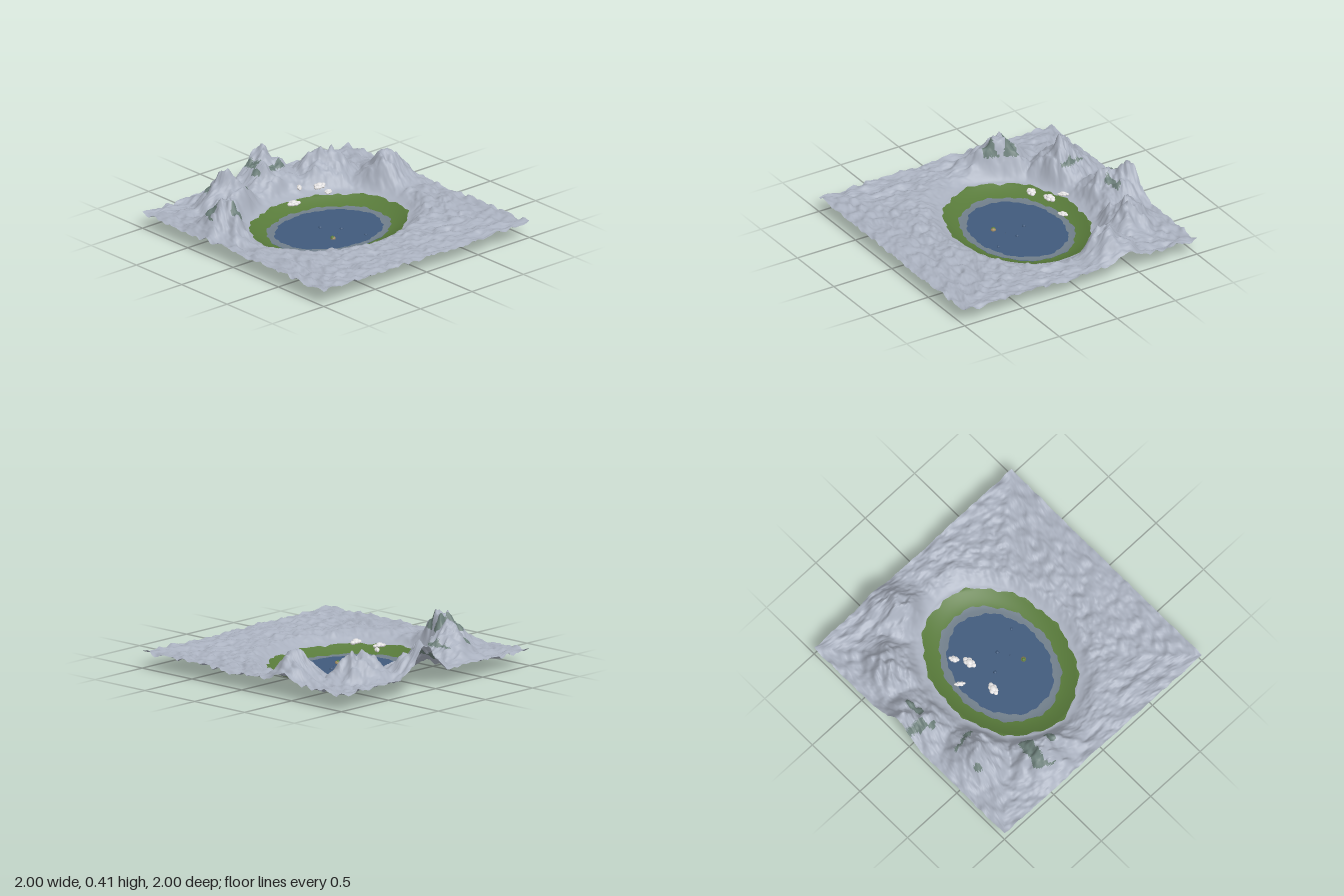
import * as THREE from 'three';

const material = (name, color, extra = {}) => {
  const m = new THREE.MeshStandardMaterial({ color, ...extra });
  m.name = name;
  return m;
};
const lerp = THREE.MathUtils.lerp, smooth = THREE.MathUtils.smoothstep;

// Seeded value noise, roughly -1..1
const hash = (i, j) => {
  const s = Math.sin(i * 127.1 + j * 311.7) * 43758.5453;
  return (s - Math.floor(s)) * 2 - 1;
};
function noise(x, y) {
  const i = Math.floor(x), j = Math.floor(y);
  const u = smooth(x - i, 0, 1), v = smooth(y - j, 0, 1);
  return lerp(lerp(hash(i, j), hash(i + 1, j), u), lerp(hash(i, j + 1), hash(i + 1, j + 1), u), v);
}
function fbm(x, y, octaves = 3) {
  let sum = 0;
  for (let o = 0, a = 0.6; o < octaves; o++, a *= 0.5) sum += a * noise(x * 2 ** o + o * 17, y * 2 ** o + o * 9);
  return sum;
}

// Basin: an ellipse whose radius 1 is the outer edge of the meadow
const CZ = -0.08, RX = 0.63, RZ = 0.5;
const basinRadius = (x, z) => Math.hypot(x / RX, (z - CZ) / RZ);

// Peaks: x, z, rise above the plain, foot radius
const PEAKS = [
  [-0.73, -0.36, 0.26, 0.28], [-0.70, -0.27, 0.2, 0.25],
  [-0.42, -0.73, 0.27, 0.27], [-0.36, -0.66, 0.19, 0.22],
  [0.10, -0.95, 0.25, 0.27], [0.02, -0.85, 0.2, 0.25], [0.18, -0.87, 0.16, 0.24],
  [0.46, -0.73, 0.21, 0.24], [0.55, -0.68, 0.21, 0.22],
  [0.72, -0.29, 0.21, 0.2], [0.80, -0.36, 0.23, 0.26], [0.87, -0.42, 0.17, 0.22],
];

function height(x, z) {
  const e = basinRadius(x, z);
  if (e < 1) return 0.055 * Math.max(0, (e - 0.74) / 0.26) ** 1.6;
  let peak = 0;
  const wx = x + 0.025 * noise(x * 14, z * 14), wz = z + 0.025 * noise(x * 14 + 40, z * 14);
  for (const [px, pz, h, r] of PEAKS) {
    const d = Math.hypot(wx - px, wz - pz) / r;
    if (d < 1) peak = Math.max(peak, h * (1 - d) ** 1.3);
  }
  const plain = 0.12 + THREE.MathUtils.clamp(0.03 * fbm(x * 17, z * 17), -0.027, 0.025);
  const crag = peak * (1 + 0.28 * fbm(x * 22 + 5, z * 22));
  return lerp(0.055, plain + crag, smooth(e, 1, 1.25));
}

// Points evenly spaced around the square, corners included
const SIDE = 80, COUNT = SIDE * 4;
const CORNERS = [[1, -1], [1, 1], [-1, 1], [-1, -1]];
const PERIMETER = Array.from({ length: COUNT }, (_, k) => {
  const c = Math.floor(k / SIDE), t = (k % SIDE) / SIDE;
  const a = CORNERS[c], b = CORNERS[(c + 1) % 4];
  return [lerp(a[0], b[0], t), lerp(a[1], b[1], t)];
});

// Point on a wavy ellipse in the direction of perimeter point k
function ellipsePoint(k, e) {
  const [px, pz] = PERIMETER[k];
  const a = Math.atan2(pz - CZ, px);
  const wave = 1 + 0.014 * Math.sin(9 * a + e * 30) + 0.011 * Math.sin(23 * a + e * 50) + 0.006 * Math.sin(41 * a);
  const s = e * wave / Math.hypot(px / RX, (pz - CZ) / RZ);
  return [px * s, CZ + (pz - CZ) * s];
}

// Band of terrain between two closed outlines; "pick" chooses a material group per triangle
function band(name, inner, outer, rings, materials, lift = 0, pick = () => 0) {
  const positions = [], lists = materials.map(() => []);
  for (let r = 0; r <= rings; r++) {
    for (let k = 0; k < COUNT; k++) {
      const a = inner(k), b = outer(k), t = r / rings;
      const x = lerp(a[0], b[0], t), z = lerp(a[1], b[1], t);
      positions.push(x, height(x, z) + lift, z);
    }
  }
  const add = (...tri) => {
    const [x, y, z] = [0, 1, 2].map(c => tri.reduce((s, i) => s + positions[i * 3 + c] / 3, 0));
    lists[pick(x, y, z)].push(...tri);
  };
  for (let r = 0; r < rings; r++) {
    for (let k = 0; k < COUNT; k++) {
      const n = (k + 1) % COUNT;
      const a = r * COUNT + k, b = r * COUNT + n, c = a + COUNT, d = b + COUNT;
      add(a, b, c);
      add(b, d, c);
    }
  }
  const g = new THREE.BufferGeometry();
  g.setAttribute('position', new THREE.Float32BufferAttribute(positions, 3));
  g.setIndex(lists.flat());
  let start = 0;
  lists.forEach((list, i) => {
    g.addGroup(start, list.length, i);
    start += list.length;
  });
  g.computeVertexNormals();
  const mesh = new THREE.Mesh(g, materials.length > 1 ? materials : materials[0]);
  mesh.name = name;
  return mesh;
}

export function createModel() {
  const open = { side: THREE.DoubleSide };
  const stone = material('stone', 0xa9b0be, open);
  const lichen = material('lichen stone', 0x6c7f7a, open);
  const grass = material('grass', 0x587a3a, open);
  const shore = material('shore', 0x707e8a, open);
  const water = material('water', 0x405a7c, open);
  const white = material('cloud white', 0xe4e2e2, { flatShading: true });
  const sand = material('sand', 0xa08a60);
  const model = new THREE.Group();
  model.name = 'mountainLake';

  // Ground, from the lake outwards
  const at = e => k => ellipsePoint(k, e);
  const mossy = (x, y, z) => (y > 0.22 && y < 0.35 && noise(x * 11 + 3, z * 11) > 0.3 ? 1 : 0);
  model.add(
    band('lake', at(0), at(0.78), 12, [water]),
    band('shoreRing', at(0.685), at(0.785), 4, [shore], 0.003),
    band('meadow', at(0.78), at(1), 12, [grass]),
    band('mountains', at(1), k => PERIMETER[k], 72, [stone, lichen], 0, mossy),
  );

  // Small domes on the lake
  const dome = (name, x, z, r, m, y = 0) => {
    const mesh = new THREE.Mesh(new THREE.SphereGeometry(r, 12, 6, 0, Math.PI * 2, 0, Math.PI / 2), m);
    mesh.position.set(x, y, z);
    mesh.name = name;
    model.add(mesh);
  };
  for (const [x, z, r] of [[-0.02, -0.15, 0.014], [0.08, -0.03, 0.014], [0, 0.02, 0.006], [0.14, 0.17, 0.012]])
    dome('lakeStone', x, z, r, water);
  dome('isletShore', -0.09, 0.07, 0.02, sand);
  dome('isletGrass', -0.093, 0.068, 0.017, grass, 0.006);

  // Clouds made of faceted puffs: x, y, z, size
  const puff = new THREE.IcosahedronGeometry(1, 1);
  const PUFFS = [[0, 0.1, 0, 0.5], [-0.6, -0.1, 0.1, 0.38], [0.6, -0.08, 0, 0.4], [-0.25, 0, -0.35, 0.38],
    [0.3, 0, -0.3, 0.36], [0.2, -0.1, 0.35, 0.36], [-0.3, -0.1, 0.32, 0.36]];
  const CLOUDS = [[-0.15, 0.185, -0.295, 0.055], [0.1, 0.255, -0.295, 0.058], [0.22, 0.165, -0.335, 0.042], [0.04, 0.21, -0.45, 0.044]];
  CLOUDS.forEach(([x, y, z, size], i) => {
    const cloud = new THREE.Group();
    cloud.name = 'cloud';
    for (const [px, py, pz, r] of PUFFS) {
      const mesh = new THREE.Mesh(puff, white);
      mesh.name = 'cloudPuff';
      mesh.position.set(px, py, pz);
      mesh.scale.set(r, r * 0.8, r);
      mesh.rotation.y = px * 5 + i;
      cloud.add(mesh);
    }
    cloud.position.set(x, y, z);
    cloud.scale.set(size, size * 0.8, size * (i === 3 ? 0.6 : 0.85));
    cloud.rotation.y = i * 0.4 - 0.3;
    model.add(cloud);
  });
  return model;
}
